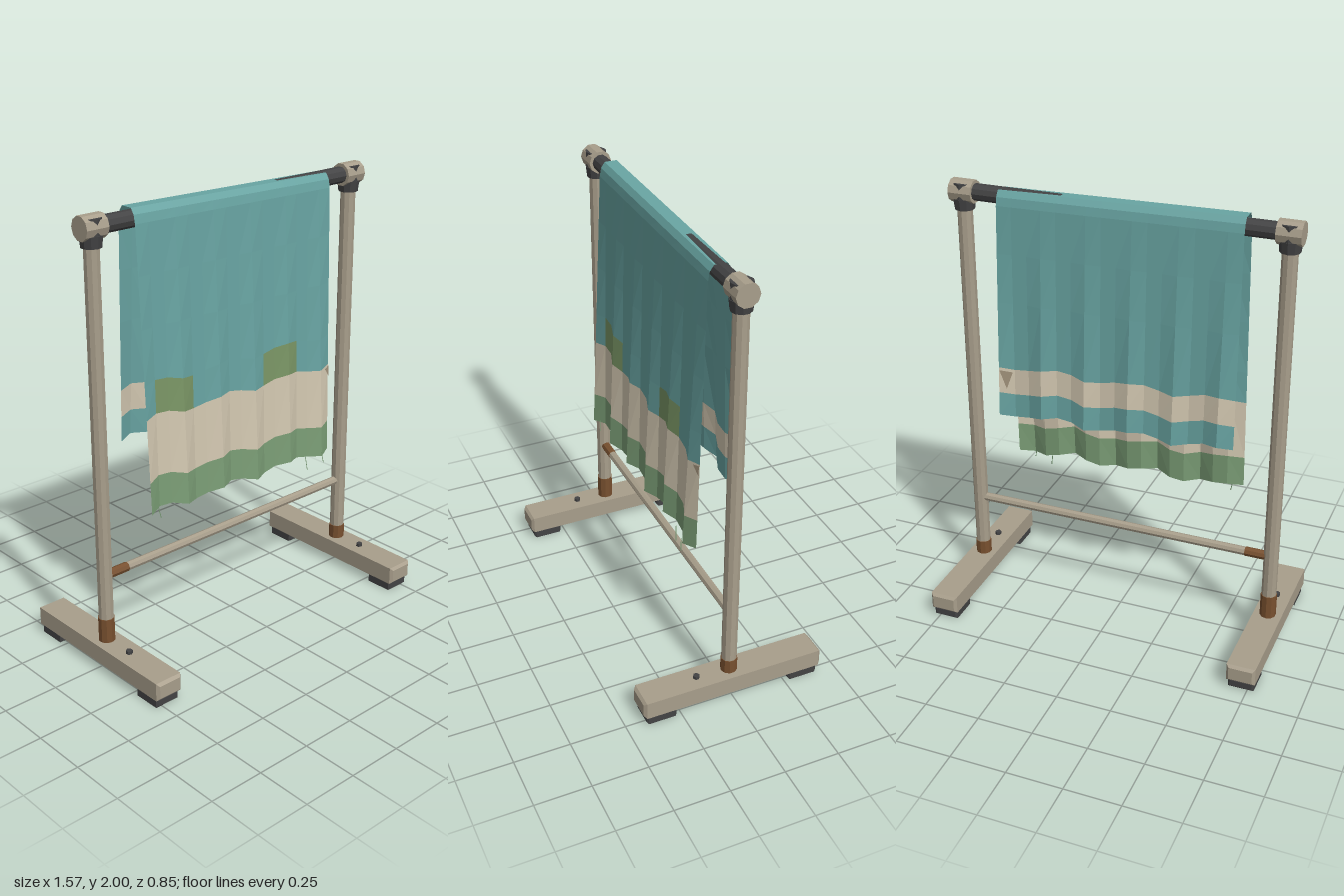
import * as THREE from 'three';

const mat = (name, color, side = THREE.FrontSide) =>
  Object.assign(new THREE.MeshStandardMaterial({ color, flatShading: true, side }), { name });

// Box with chamfered edges, centred on the origin
function chamferBox(w, h, d, c) {
  const x = w / 2 - c, y = h / 2 - c;
  const s = new THREE.Shape([[-x, -y], [x, -y], [x, y], [-x, y]].map(p => new THREE.Vector2(...p)));
  const g = new THREE.ExtrudeGeometry(s, {
    depth: d - 2 * c, bevelEnabled: true, bevelSize: c, bevelThickness: c, bevelSegments: 1,
  });
  return g.translate(0, 0, -d / 2 + c);
}

export function createModel() {
  const model = new THREE.Group();
  const frame = mat('warm grey frame', 0xa89e8b);
  const dark = mat('dark rubber', 0x434344);
  const rust = mat('rust', 0x78502f);
  const teal = mat('teal cloth', 0x69a5a3, THREE.DoubleSide);
  const cream = mat('cream cloth', 0xd4c9b2, THREE.DoubleSide);
  const green = mat('green cloth', 0x7c9f77, THREE.DoubleSide);
  const olive = mat('olive cloth', 0x7b9766, THREE.DoubleSide);
  const stainTan = mat('tan stain', 0xa2937c, THREE.DoubleSide);

  const add = (parent, name, geometry, material, x = 0, y = 0, z = 0) => {
    const m = new THREE.Mesh(geometry, material);
    m.name = name;
    m.position.set(x, y, z);
    parent.add(m);
    return m;
  };
  // Upright cylinder between two heights
  const upright = (parent, name, r, y0, y1, sides, material, z = 0, rTop = r) =>
    add(parent, name, new THREE.CylinderGeometry(rTop, r, y1 - y0, sides), material, 0, (y0 + y1) / 2, z);
  // Cylinder lying along x
  const rail = (parent, name, r, x0, x1, y, sides, material) =>
    add(parent, name, new THREE.CylinderGeometry(r, r, x1 - x0, sides).rotateZ(Math.PI / 2), material, (x0 + x1) / 2, y);

  // Two side stands
  for (const s of [-1, 1]) {
    const stand = new THREE.Group();
    stand.name = s < 0 ? 'rightStand' : 'leftStand';
    stand.position.x = s * 0.72;
    model.add(stand);
    add(stand, 'footBeam', chamferBox(0.13, 0.083, 0.85, 0.012), frame, 0, 0.082);
    for (const z of [-0.34, 0.34])
      add(stand, 'footPad', chamferBox(0.116, 0.045, 0.14, 0.008), dark, 0, 0.0225, z);
    upright(stand, 'footBolt', 0.015, 0.12, 0.138, 6, dark, 0.155);
    upright(stand, 'post', 0.034, 0.12, 1.9, 10, frame);
    upright(stand, 'rustSleeve', 0.037, 0.122, s < 0 ? 0.235 : 0.19, 10, rust);
    upright(stand, 'jointCollar', 0.044, 1.87, 1.92, 10, dark, 0, 0.05);
    upright(stand, 'jointCore', 0.047, 1.91, 1.988, 10, dark);
    rail(stand, 'jointSleeve', 0.0515, -0.053, 0.053, 1.95, 10, frame);
  }

  // Rails
  rail(model, 'topBar', 0.037, -0.69, 0.69, 1.95, 10, dark);
  rail(model, 'crossbar', 0.02, -0.7, 0.7, 0.435, 8, frame);
  rail(model, 'crossbarRust', 0.0215, -0.695, -0.6, 0.435, 8, rust);

  // Draped cloth: rows of [y, z at the bar, side] from front hem over the bar to back hem
  const COLS = 16, HALF = 0.545;
  const rows = [
    [0.692, 1], [0.835, 1], [1.113, 1], [1.26, 1], [1.5, 1], [1.72, 1], [1.93, 1],
    [1.975, 0, 0.045], [2.0, 0, 0.028], [2.0, 0, -0.028], [1.975, 0, -0.045],
    [1.93, -1], [1.72, -1], [1.5, -1], [1.2, -1], [1.08, -1], [0.97, -1],
  ];
  const clothPoint = (i, r) => {
    const [y, side, zTop] = rows[r];
    const x = -HALF + (2 * HALF * i) / COLS;
    const sag = 0.02 * (i / COLS);
    if (!side) return [x, y - sag, zTop];
    const t = (1.95 - y) / 1.26;
    const phase = side > 0 ? 0 : 1;
    const fold = Math.cos((2 * Math.PI * (i - phase)) / 3);
    const hang = side > 0 ? 0.042 : 0.048;
    const wave = y < 1.3 ? 0.014 * Math.cos((2 * Math.PI * (x + 0.46)) / 0.37) : 0;
    return [x, y - sag + 0.008 + wave, side * (0.051 + hang * t + 0.022 * t * fold)];
  };
  const clothColour = (i, r) => {
    if (r === 0) return green;
    if (r === 1 || r === 14) return cream;
    if (r === 2 && ((i >= 1 && i < 4) || (i >= 10 && i < 13))) return olive;
    return teal;
  };
  const faces = new Map([[teal, []], [cream, []], [green, []], [olive, []]]);
  for (let r = 0; r < rows.length - 1; r++) {
    for (let i = 0; i < COLS; i++) {
      const a = clothPoint(i, r), b = clothPoint(i + 1, r);
      const c = clothPoint(i + 1, r + 1), d = clothPoint(i, r + 1);
      faces.get(clothColour(i, r)).push(...a, ...b, ...c, ...a, ...c, ...d);
    }
  }
  const surface = (points) => {
    const g = new THREE.BufferGeometry();
    g.setAttribute('position', new THREE.Float32BufferAttribute(points, 3));
    g.computeVertexNormals();
    return g;
  };
  const cloth = new THREE.Group();
  cloth.name = 'cloth';
  model.add(cloth);
  const names = new Map([[teal, 'clothBody'], [cream, 'creamBands'], [green, 'greenHem'], [olive, 'olivePatches']]);
  for (const [material, points] of faces) add(cloth, names.get(material), surface(points), material);

  // Small stains lying just off the bands at one edge
  const stain = (name, r, corners, off) => {
    const p00 = clothPoint(15, r), p10 = clothPoint(16, r), p11 = clothPoint(16, r + 1), p01 = clothPoint(15, r + 1);
    const at = ([u, v]) => p00.map((_, k) =>
      (p00[k] * (1 - u) + p10[k] * u) * (1 - v) + (p01[k] * (1 - u) + p11[k] * u) * v + (k === 2 ? off : 0));
    add(cloth, name, surface(corners.flatMap(at)), stainTan);
  };
  stain('frontStain', 1, [[0.5, 0.97], [1, 0.8], [1, 0.98]], 0.004);
  stain('backStain', 14, [[0.1, 0.1], [0.95, 0.1], [0.5, 0.8]], -0.004);

  // Loose threads at the front hem
  for (const [x, y, length, z] of [[-0.495, 0.71, 0.04, 0.1], [0.385, 0.68, 0.06, 0.1], [0.475, 0.68, 0.045, 0.117]]) {
    const path = new THREE.CatmullRomCurve3([
      new THREE.Vector3(x - 0.004, y + 0.01, z),
      new THREE.Vector3(x + 0.002, y - length / 2, z + 0.003),
      new THREE.Vector3(x + 0.006, y - length, z + 0.005),
    ]);
    add(cloth, 'looseThread', new THREE.TubeGeometry(path, 4, 0.002, 4), green);
  }
  return model;
}
